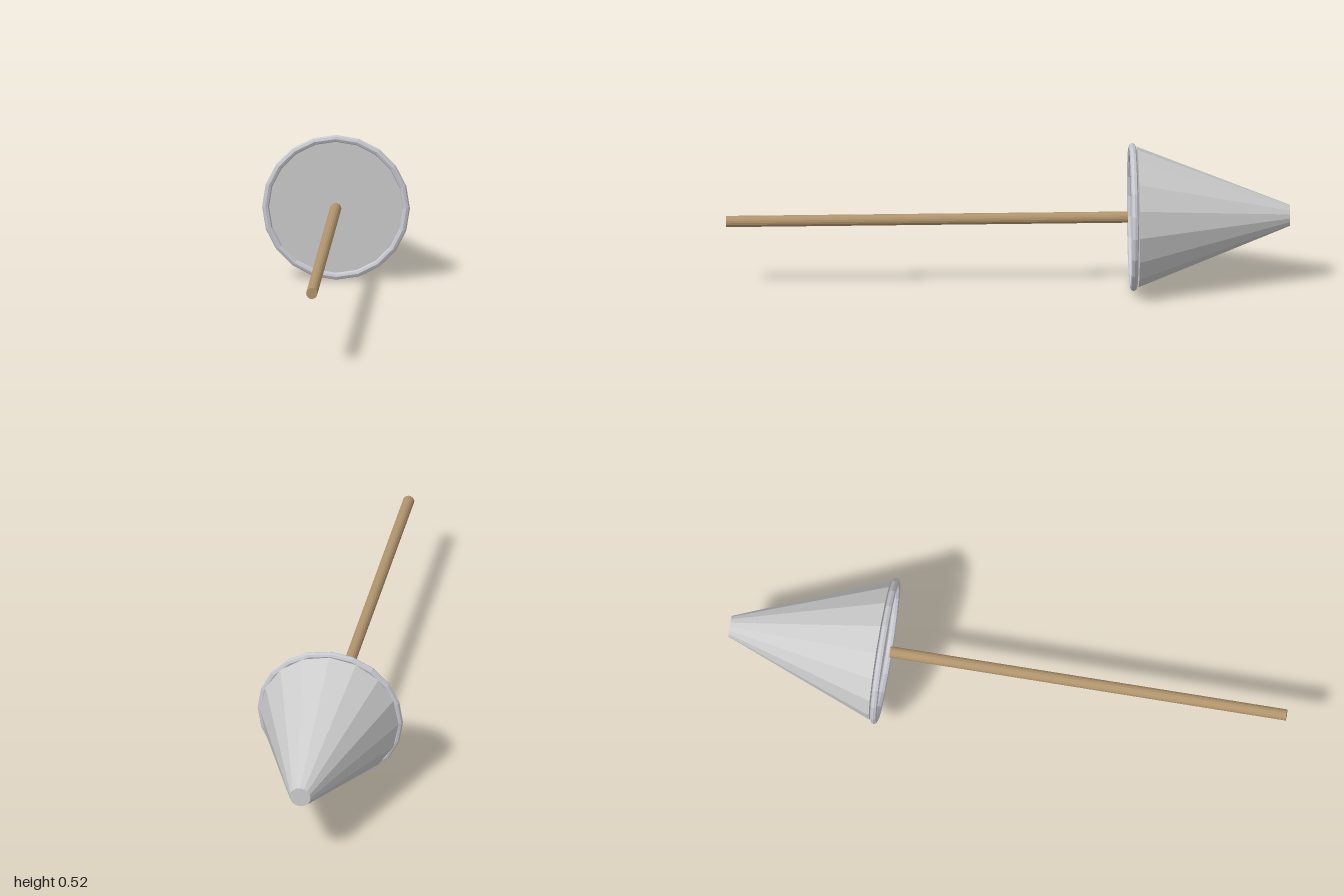
import * as THREE from 'three';

const AXIS_Y = 0.263; // height of the common axis

// Cylinder lying along z; the top end points to -z
function zCylinder(name, rBack, rFront, zBack, zFront, sides, color) {
  const geometry = new THREE.CylinderGeometry(rBack, rFront, zFront - zBack, sides);
  geometry.rotateX(-Math.PI / 2);
  const mesh = new THREE.Mesh(
    geometry,
    new THREE.MeshStandardMaterial({ color, flatShading: true })
  );
  mesh.name = name;
  mesh.position.set(0, AXIS_Y, (zBack + zFront) / 2);
  return mesh;
}

export function createModel() {
  const model = new THREE.Group();
  model.name = 'coneOnStick';

  // Truncated cone, closed at both ends
  model.add(zCylinder('cone', 0.0375, 0.25, -1, -0.46, 16, 0xcccccc));

  // Rim ring in front of the wide end of the cone
  const rim = new THREE.Mesh(
    new THREE.TorusGeometry(0.25, 0.0125, 8, 20),
    new THREE.MeshStandardMaterial({ color: 0xc8c8d0, flatShading: true })
  );
  rim.name = 'rim';
  rim.position.set(0, AXIS_Y, -0.443);
  model.add(rim);

  // Wooden stick
  model.add(zCylinder('stick', 0.02, 0.02, -0.425, 1, 16, 0xb0946c));

  return model;
}
